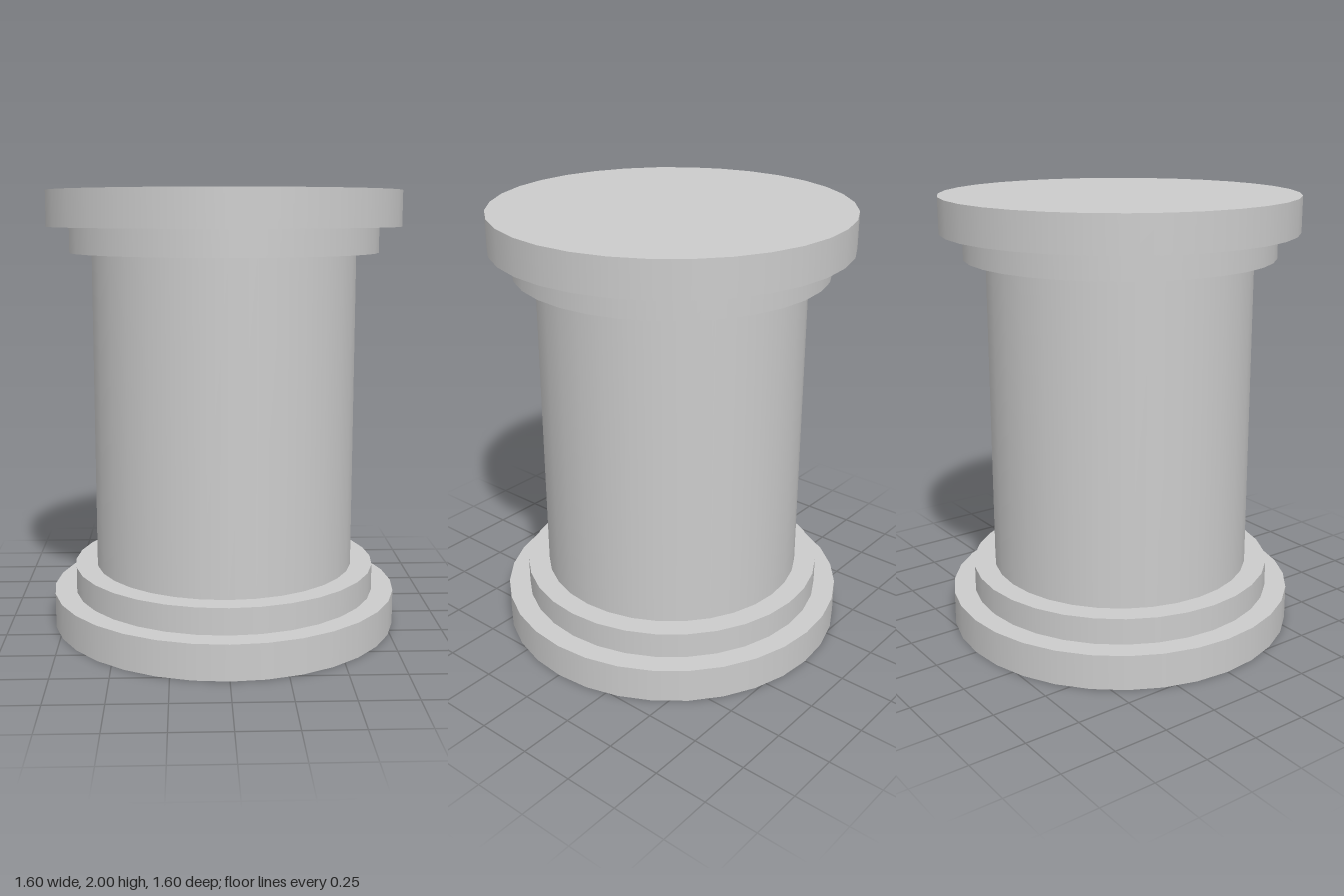
import * as THREE from 'three';

const SEGMENTS = 32;

export function createModel() {
  const model = new THREE.Group();
  model.name = 'column';
  const material = new THREE.MeshStandardMaterial({ color: 0xcccccc });

  // One round tier of the column, from height y0 to y1
  const addTier = (name, radius, y0, y1) => {
    const geometry = new THREE.CylinderGeometry(radius, radius, y1 - y0, SEGMENTS);
    const mesh = new THREE.Mesh(geometry, material);
    mesh.name = name;
    mesh.position.y = (y0 + y1) / 2;
    model.add(mesh);
  };

  // Stepped base
  addTier('basePlinth', 0.8, 0, 0.16);
  addTier('baseStep', 0.7, 0.16, 0.28);

  // Shaft
  addTier('shaft', 0.6, 0.28, 1.725);

  // Stepped capital
  addTier('capitalStep', 0.7, 1.725, 1.84);
  addTier('capitalSlab', 0.8, 1.84, 2);

  return model;
}
